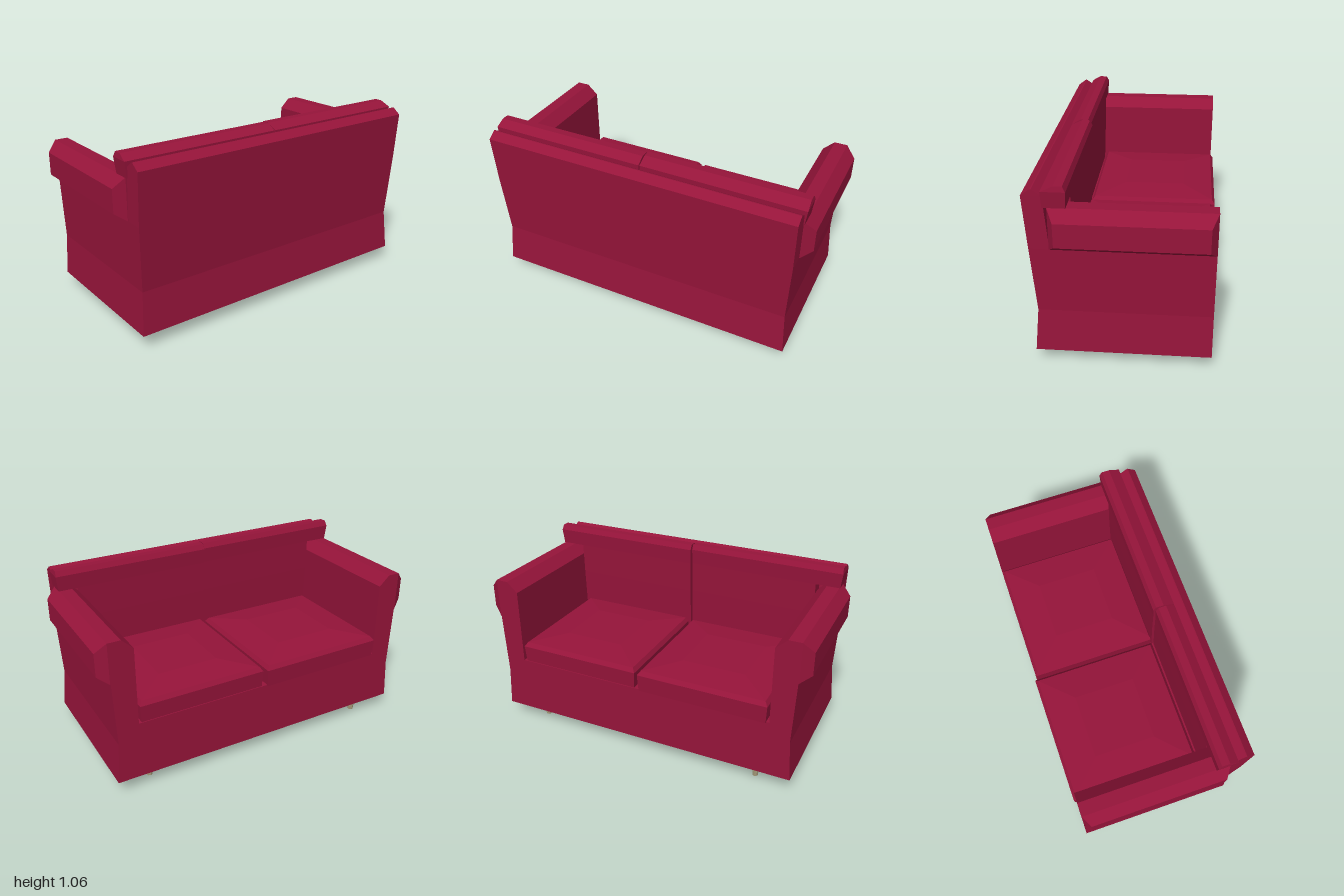
import * as THREE from 'three';

const fabric = new THREE.MeshStandardMaterial({ color: 0x96143a, flatShading: true });
const wood = new THREE.MeshStandardMaterial({ color: 0xa89c7c, flatShading: true });

// Closed solid from rectangles stacked along y; each ring is [y, x0, x1, zA, zB]
function stack(rings) {
  const pos = [], index = [];
  for (const [y, x0, x1, za, zb] of rings) {
    const z0 = Math.min(za, zb), z1 = Math.max(za, zb);
    pos.push(x0, y, z0, x0, y, z1, x1, y, z1, x1, y, z0);
  }
  for (let r = 0; r < rings.length - 1; r++) {
    for (let i = 0; i < 4; i++) {
      const a = r * 4 + i, b = r * 4 + (i + 1) % 4;
      index.push(a, b, b + 4, a, b + 4, a + 4);
    }
  }
  const t = (rings.length - 1) * 4;
  index.push(0, 2, 1, 0, 3, 2, t, t + 1, t + 2, t, t + 2, t + 3);
  let g = new THREE.BufferGeometry();
  g.setAttribute('position', new THREE.Float32BufferAttribute(pos, 3));
  g.setIndex(index);
  g = g.toNonIndexed();
  g.computeVertexNormals();
  return g;
}

export function createModel() {
  const sofa = new THREE.Group();
  sofa.name = 'sofa';
  const add = (name, geometry, material = fabric) => {
    const mesh = new THREE.Mesh(geometry, material);
    mesh.name = name;
    sofa.add(mesh);
    return mesh;
  };

  // Base under the seat
  add('base', stack([
    [0.083, -0.475, 0.4, -0.85, 0.85],
    [0.425, -0.475, 0.4, -0.85, 0.85],
  ]));

  // Back frame, pinched above the floor and ridged along the top
  add('backFrame', stack([
    [0.083, 0.36, 0.466, -0.94, 0.94],
    [0.33, 0.36, 0.445, -0.922, 0.922],
    [0.705, 0.362, 0.47, -0.937, 0.937],
    [1.0, 0.385, 0.49, -0.94, 0.94],
    [1.035, 0.435, 0.442, -0.94, 0.94],
  ]));

  for (const s of [1, -1]) {
    // Arm with a bevelled inner top edge
    add('arm', stack([
      [0.083, -0.475, 0.365, s * 0.8, s * 0.94],
      [0.33, -0.475, 0.365, s * 0.8, s * 0.922],
      [0.705, -0.475, 0.365, s * 0.8, s * 0.937],
      [0.88, -0.475, 0.365, s * 0.8, s * 0.94],
      [0.94, -0.475, 0.365, s * 0.865, s * 0.94],
    ]));

    // Bevelled pad on the outside of the arm
    const pad = stack([
      [0.93, -0.475, 0.365, -s * 0.705, -s * 0.94],
      [0.94, -0.475, 0.365, -s * 0.705, -s * 0.94],
      [1.0, -0.44, 0.33, -s * 0.748, -s * 0.882],
    ]);
    add('armPad', pad.rotateX(s * Math.PI / 2));

    // Seat cushion with a shallow dome; the two sit slightly out of line
    const dx = s > 0 ? -0.013 : 0, zi = s > 0 ? 0.004 : -0.02;
    const inset = (y, d) => [y, -0.475 + dx + d, 0.295 + dx - d, zi + s * d, s * (0.787 - d)];
    add('seatCushion', stack([
      inset(0.42, 0.006), inset(0.525, 0), inset(0.55, 0.017), inset(0.57, 0.2),
    ]));

    // Back cushion with an ear resting on the arm
    const bx = s > 0 ? 0.012 : 0, zb = s * 0.003;
    add('backCushion', stack([
      [0.5, 0.285 + bx, 0.385, zb, s * 0.8],
      [0.75, 0.275 + bx, 0.385, zb, s * 0.8],
      [0.94, 0.27 + bx, 0.387, zb, s * 0.8],
      [0.94, 0.27 + bx, 0.387, zb, s * 0.945],
      [1.03, 0.265 + bx, 0.39, zb, s * 0.955],
      [1.06, 0.28 + bx, 0.325 + bx, zb, s * 0.95],
    ]));

    // Tapered feet
    for (const x of [s > 0 ? -0.405 : -0.382, 0.225]) {
      add('leg', new THREE.CylinderGeometry(0.025, 0.016, 0.085, 8), wood)
        .position.set(x, 0.0425, s * 0.72);
    }
  }
  return sofa;
}
